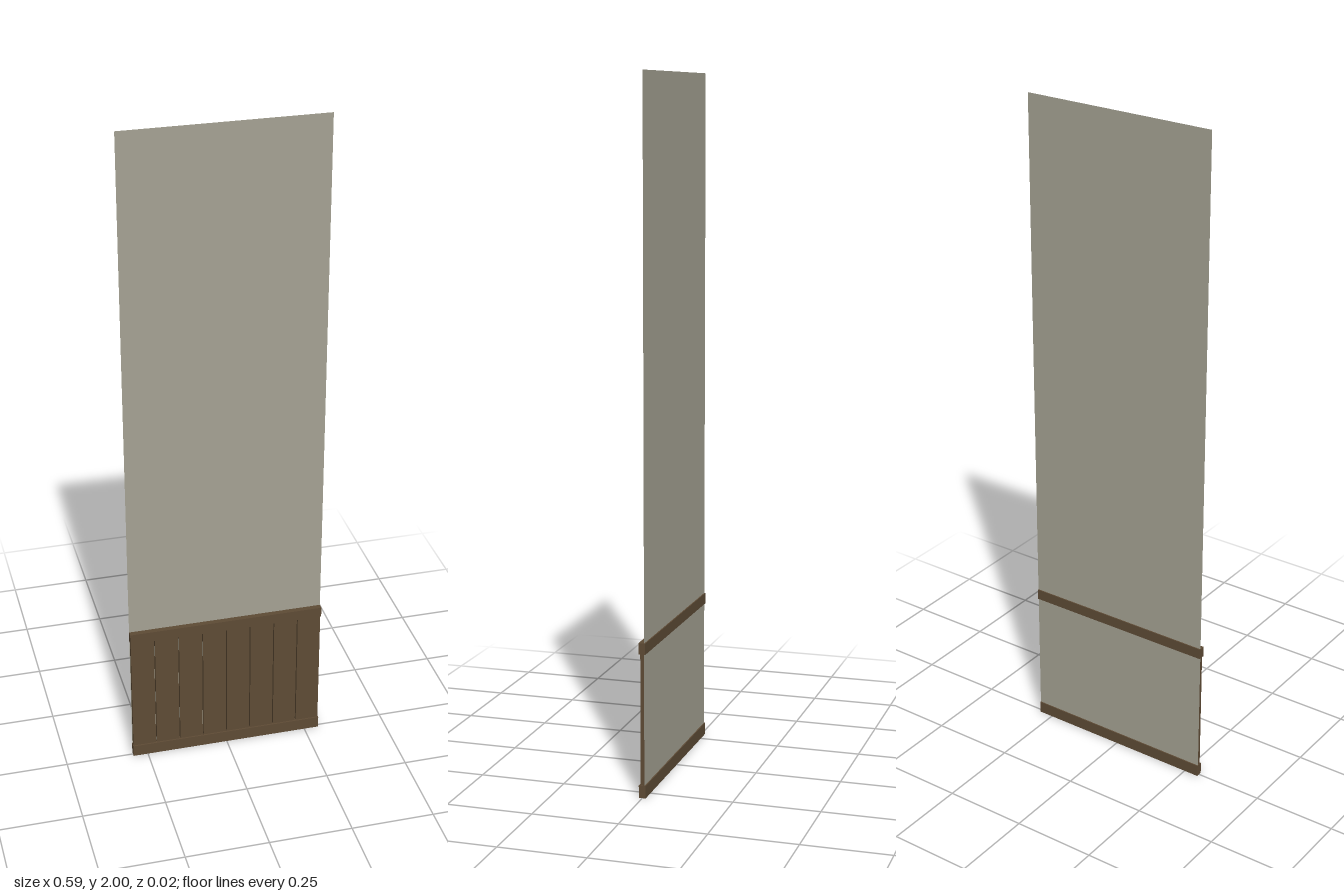
import * as THREE from 'three';

const W = 0.59;

export function createModel() {
  const group = new THREE.Group();
  const wood = new THREE.MeshStandardMaterial({ color: 0x5e4b35 });
  const plaster = new THREE.MeshStandardMaterial({ color: 0xa5a293, side: THREE.DoubleSide });

  const addBox = (name, w, h, d, x, y, z) => {
    const mesh = new THREE.Mesh(new THREE.BoxGeometry(w, h, d), wood);
    mesh.name = name;
    mesh.position.set(x, y, z);
    group.add(mesh);
  };

  // Thin wall sheet, full height, just behind the planks
  const wall = new THREE.Mesh(new THREE.PlaneGeometry(W, 2), plaster);
  wall.name = 'wall';
  wall.position.set(0, 1, -0.0065);
  group.add(wall);

  // Wainscot planks with narrow grooves between them
  const count = 8, pitch = W / count, gap = 0.003;
  for (let i = 0; i < count; i++) {
    addBox('plank' + (i + 1), pitch - gap, 0.39, 0.011, (i + 0.5) * pitch - W / 2, 0.225, -0.0005);
  }

  // Rails capping the planks
  addBox('bottomRail', W, 0.036, 0.02, 0, 0.018, 0);
  addBox('topRail', W, 0.032, 0.02, 0, 0.43, 0);

  return group;
}
